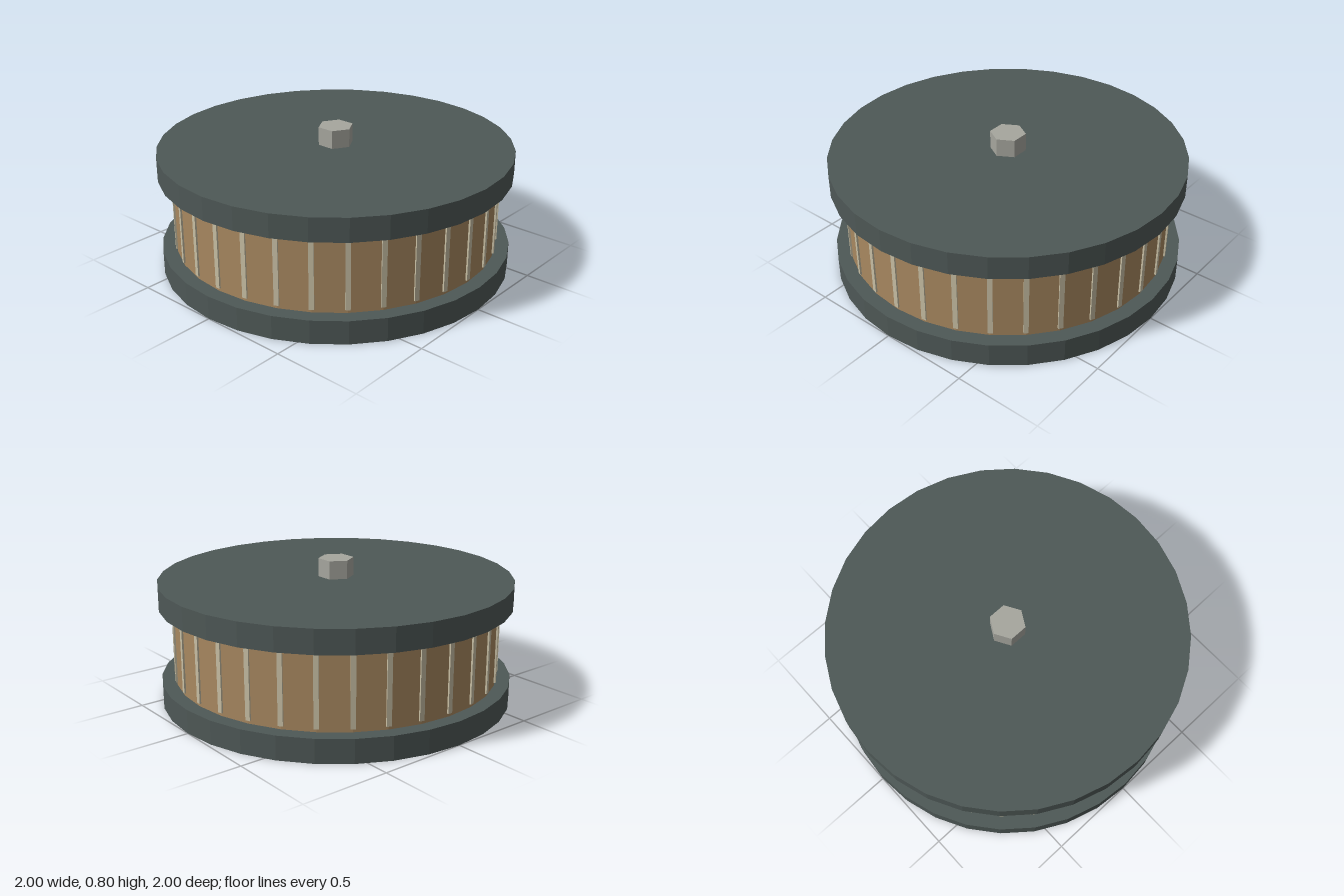
import * as THREE from 'three';

const mat = (name, color) => {
  const m = new THREE.MeshStandardMaterial({ color, flatShading: true });
  m.name = name;
  return m;
};

export function createModel() {
  const slate = mat('slate', 0x4e5856);
  const wood = mat('wood', 0xa88860);
  const cream = mat('cream', 0xc8bfa4);
  const steel = mat('steel', 0xa6a69e);
  const SIDES = 32;
  const model = new THREE.Group();
  model.name = 'drum';

  // Upright prism standing between two heights
  const prism = (name, radius, y0, y1, sides, material) => {
    const mesh = new THREE.Mesh(new THREE.CylinderGeometry(radius, radius, y1 - y0, sides), material);
    mesh.name = name;
    mesh.position.y = (y0 + y1) / 2;
    model.add(mesh);
    return mesh;
  };

  // End discs and the core between them
  prism('bottomDisc', 1, 0, 0.133, SIDES, slate);
  prism('topDisc', 1, 0.562, 0.693, SIDES, slate);
  prism('core', 0.92, 0.133, 0.562, SIDES, wood);

  // Hexagonal bolt with corners on the x axis
  prism('bolt', 0.1, 0.693, 0.797, 6, steel).rotation.y = Math.PI / 6;

  // Upright ribs around the core
  const ribs = new THREE.Group();
  ribs.name = 'ribs';
  const ribGeometry = new THREE.BoxGeometry(0.027, 0.4, 0.027);
  for (let i = 0; i < SIDES; i++) {
    const a = (i / SIDES) * Math.PI * 2;
    const rib = new THREE.Mesh(ribGeometry, cream);
    rib.name = 'rib';
    rib.position.set(Math.sin(a) * 0.915, 0.352, Math.cos(a) * 0.915);
    rib.rotation.y = a;
    ribs.add(rib);
  }
  model.add(ribs);
  return model;
}
